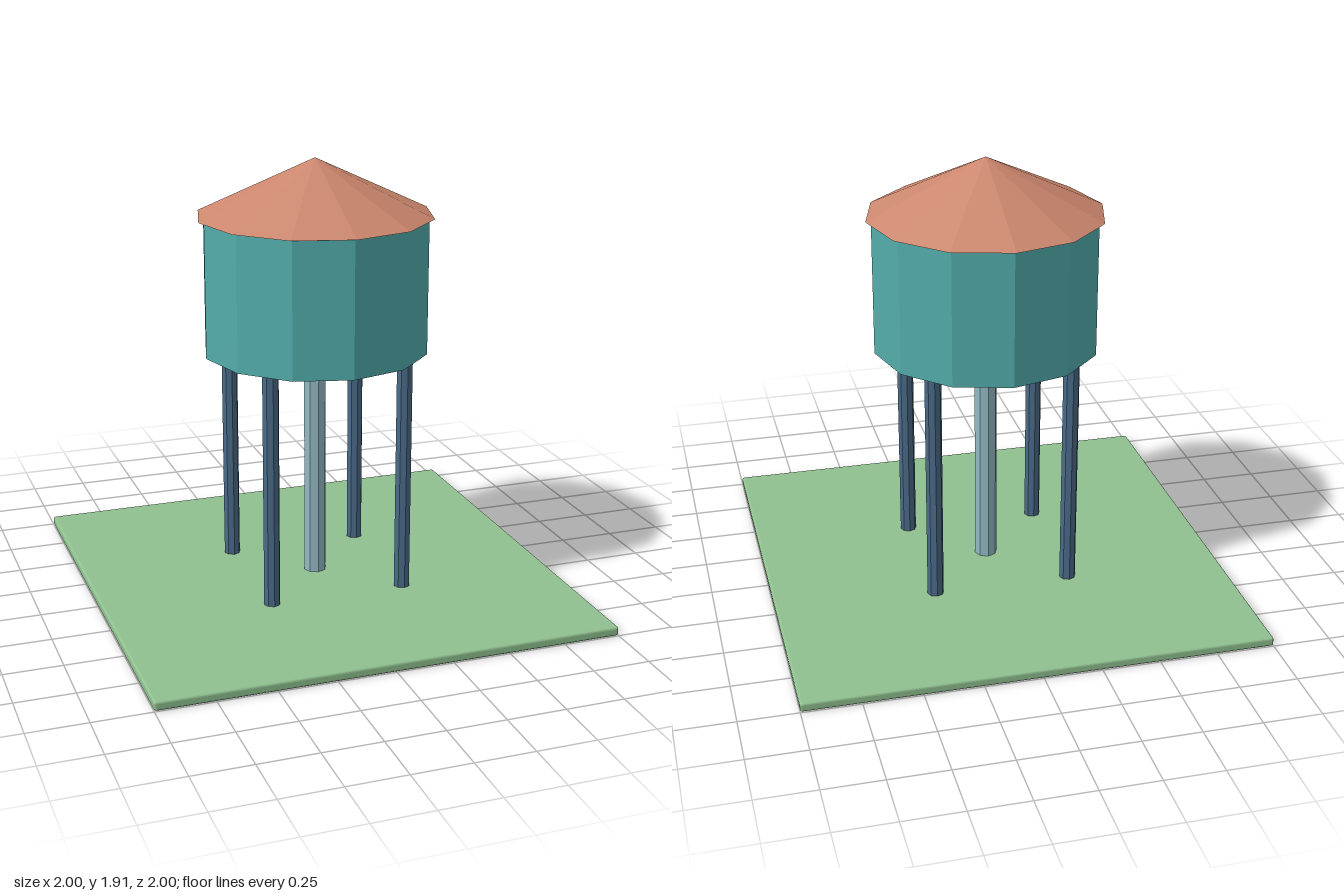
import * as THREE from 'three';
import { RoundedBoxGeometry } from 'three/addons/geometries/RoundedBoxGeometry.js';

const material = (color) => new THREE.MeshStandardMaterial({ color, flatShading: true });
const green = material(0x8fc08f);
const steel = material(0x4a6a88);
const pipeBlue = material(0x93b9c4);
const teal = material(0x52adac);
const terracotta = material(0xcc876e);

export function createModel() {
  const model = new THREE.Group();
  model.name = 'waterTower';

  const add = (name, geometry, mat, x, y, z) => {
    const mesh = new THREE.Mesh(geometry, mat);
    mesh.name = name;
    mesh.position.set(x, y, z);
    model.add(mesh);
  };
  // Upright prism spanning from bottom to top
  const column = (name, radius, sides, bottom, top, mat, x = 0, z = 0) =>
    add(name, new THREE.CylinderGeometry(radius, radius, top - bottom, sides), mat, x, (bottom + top) / 2, z);

  // Ground slab with softened edges
  add('groundSlab', new RoundedBoxGeometry(2, 0.04, 2, 2, 0.01), green, 0, 0.02, 0);

  // Four legs around the central riser pipe
  for (const x of [-0.3, 0.3]) {
    for (const z of [-0.3, 0.3]) {
      const name = (z > 0 ? 'front' : 'back') + (x > 0 ? 'Left' : 'Right') + 'Leg';
      column(name, 0.036, 8, 0.005, 1.09, steel, x, z);
    }
  }
  column('riserPipe', 0.05, 8, 0.02, 1.09, pipeBlue);

  // Twelve-sided tank and its overhanging conical roof
  column('tank', 0.49, 12, 1.075, 1.667, teal);
  add('roof', new THREE.ConeGeometry(0.513, 0.245, 12), terracotta, 0, 1.667 + 0.1225, 0);

  return model;
}
